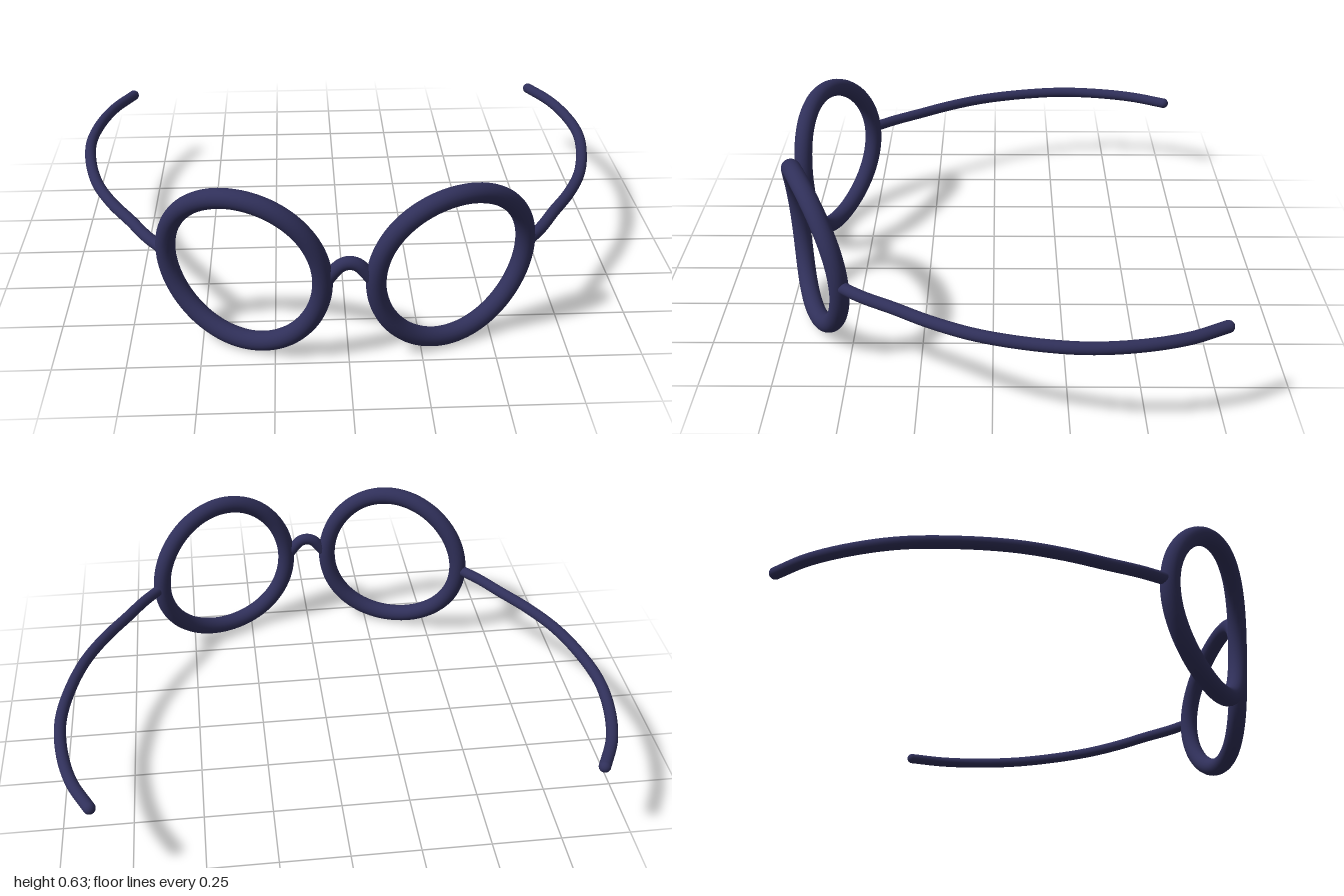
import * as THREE from 'three';

export function createModel() {
  const group = new THREE.Group();
  const navy = new THREE.MeshStandardMaterial({ color: 0x30305a });
  navy.name = 'navyFrame';

  const curve = (pts, closed = false) =>
    new THREE.CatmullRomCurve3(pts.map((p) => new THREE.Vector3(...p)), closed);

  const tube = (name, path, segments, radius, closed = false) => {
    const mesh = new THREE.Mesh(new THREE.TubeGeometry(path, segments, radius, 20, closed), navy);
    mesh.name = name;
    group.add(mesh);
  };

  const ball = (name, [x, y, z], radius) => {
    const mesh = new THREE.Mesh(new THREE.SphereGeometry(radius, 20, 14), navy);
    mesh.name = name;
    mesh.position.set(x, y, z);
    group.add(mesh);
  };

  // Temple arm centreline, from the hinge to the tip
  const arm = [
    [0.615, 0.323, 0.525], [0.64, 0.323, 0.495], [0.69, 0.324, 0.43], [0.755, 0.326, 0.325],
    [0.835, 0.327, 0.2], [0.908, 0.328, 0.05], [0.958, 0.329, -0.13], [0.979, 0.33, -0.3],
    [0.964, 0.33, -0.47], [0.924, 0.33, -0.62], [0.86, 0.33, -0.748],
  ];

  for (const [side, s] of [['left', 1], ['right', -1]]) {
    // Round rim, wrapped around the face and leaning slightly forward at the top
    const rim = [];
    for (let i = 0; i < 32; i++) {
      const a = (i / 32) * Math.PI * 2;
      const x = 0.352 + 0.264 * Math.cos(a) + 0.006 * Math.sin(a);
      const dy = 0.282 * Math.sin(a);
      rim.push([s * x, 0.318 + dy, 0.735 - 0.57 * x * x + 0.06 * dy]);
    }
    tube(side + 'Rim', curve(rim, true), 96, 0.034, true);

    // Curved temple arm with a rounded tip
    const pts = arm.map(([x, y, z]) => [s * x, y, z]);
    tube(side + 'Temple', curve(pts), 64, 0.021);
    ball(side + 'TempleTip', pts[pts.length - 1], 0.021);
  }

  // Arched nose bridge
  tube('bridge', curve([
    [-0.08, 0.315, 0.73], [-0.05, 0.355, 0.73], [-0.027, 0.378, 0.73], [0, 0.386, 0.73],
    [0.027, 0.378, 0.73], [0.05, 0.355, 0.73], [0.08, 0.315, 0.73],
  ]), 32, 0.023);

  return group;
}
